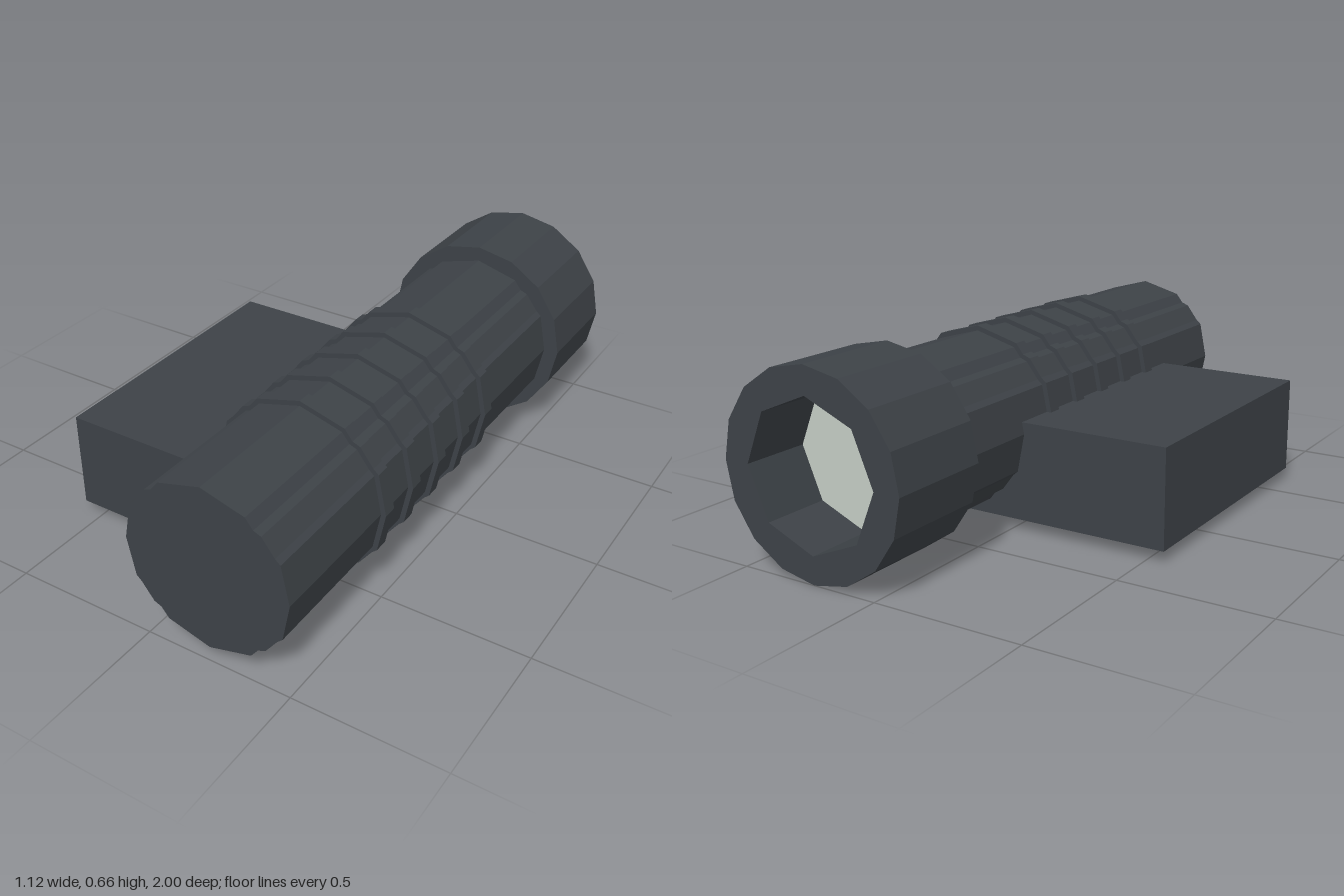
import * as THREE from 'three';

const AXIS_X = 0.225, AXIS_Y = 0.331;

const housing = new THREE.MeshStandardMaterial({ color: 0x3d4247, flatShading: true });
housing.name = 'dark housing';
const glass = new THREE.MeshStandardMaterial({ color: 0xc4ccc4, flatShading: true });
glass.name = 'pale lens';

// Regular polygon with a corner on each axis
function polygon(radius, sides) {
  return Array.from({ length: sides }, (_, i) => {
    const a = (i / sides) * Math.PI * 2;
    return new THREE.Vector2(Math.cos(a) * radius, Math.sin(a) * radius);
  });
}

// Barrel outline: one quarter with shallow grooves, mirrored to a full loop
function barrelOutline(scale) {
  const quarter = [[0.28, 0], [0.254, 0.128], [0.237, 0.143], [0.195, 0.198], [0.17, 0.208], [0.145, 0.24]];
  const points = [];
  for (let q = 0; q < 4; q++) {
    const sx = q === 0 || q === 3 ? 1 : -1, sy = q < 2 ? 1 : -1;
    const part = quarter.map(([x, y]) => new THREE.Vector2(x * sx * scale, y * sy * scale));
    if (q % 2 === 1) {
      part.reverse();
      part.unshift(new THREE.Vector2(0, 0.28 * sy * scale));
      part.pop();
    }
    points.push(...part);
  }
  // The -x corner begins the third quarter; the +x corner begins the first
  return points;
}

// Straight prism along z, on the barrel axis
function prism(name, outline, z0, z1, hole) {
  const shape = new THREE.Shape(outline);
  if (hole) shape.holes.push(new THREE.Path(hole));
  const geometry = new THREE.ExtrudeGeometry(shape, { depth: z1 - z0, bevelEnabled: false });
  const mesh = new THREE.Mesh(geometry, housing);
  mesh.name = name;
  mesh.position.set(AXIS_X, AXIS_Y, z0);
  return mesh;
}

export function createModel() {
  const model = new THREE.Group();
  model.name = 'flashlight';

  // Barrel and the wider head with its octagonal recess
  model.add(prism('barrel', barrelOutline(1), -0.75, 1));
  model.add(prism('head', polygon(0.331, 16), -1, -0.635, polygon(0.24, 8)));

  // Lens at the bottom of the recess
  const lens = new THREE.Mesh(new THREE.CircleGeometry(0.24, 8), glass);
  lens.name = 'lens';
  lens.rotation.y = Math.PI;
  lens.position.set(AXIS_X, AXIS_Y, -0.77);
  model.add(lens);

  // Grip rings
  for (let i = 0; i < 5; i++) {
    const z = 0.5 - i * 0.162;
    model.add(prism('gripRing' + (i + 1), barrelOutline(1.06), z - 0.024, z + 0.024));
  }

  // Side mounting block
  const block = new THREE.Mesh(new THREE.BoxGeometry(0.86, 0.33, 0.965), housing);
  block.name = 'mountingBlock';
  block.position.set(-0.13, 0.205, 0.165);
  model.add(block);

  return model;
}
